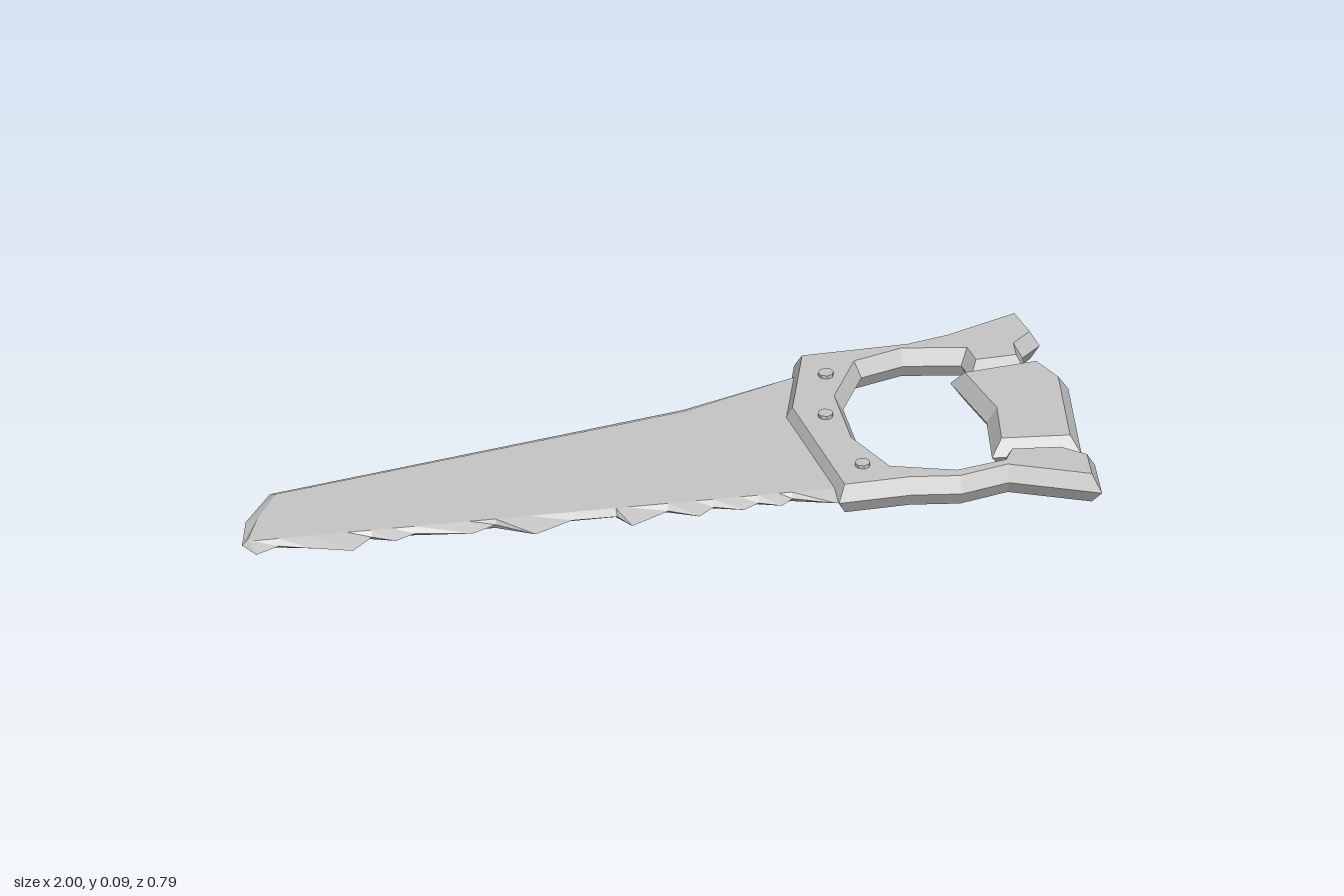
import * as THREE from 'three';

const MID = 0.047; // height of the saw's centre plane

const steel = new THREE.MeshStandardMaterial({ color: 0xc6c6c6 });
steel.name = 'grey';
steel.flatShading = true;

const toVectors = (points) => points.map(([x, z]) => new THREE.Vector2(x, z));

// Moves every edge of a counter-clockwise outline inwards, with mitred corners
function inset(outline, distance) {
  const n = outline.length;
  return outline.map((p, i) => {
    const a = p.clone().sub(outline[(i + n - 1) % n]).normalize();
    const b = outline[(i + 1) % n].clone().sub(p).normalize();
    const na = new THREE.Vector2(-a.y, a.x);
    const nb = new THREE.Vector2(-b.y, b.x);
    const k = distance / Math.max(0.4, 1 + na.dot(nb));
    return p.clone().addScaledVector(na.add(nb), k);
  });
}

// A flat body: widest on the centre plane, bevelled to a smaller face above and below
function bevelledPlate(name, outer, face, halfHeight) {
  const n = outer.length;
  const position = [];
  const put = (p, y) => position.push(p.x, y, p.y);

  for (let i = 0; i < n; i++) {
    const j = (i + 1) % n;
    const [a, b, c, d] = [outer[i], outer[j], face[i], face[j]];
    const top = MID + halfHeight, bottom = MID - halfHeight;
    put(a, MID); put(c, top); put(d, top);
    put(a, MID); put(d, top); put(b, MID);
    put(a, MID); put(d, bottom); put(c, bottom);
    put(a, MID); put(b, MID); put(d, bottom);
  }
  for (const t of THREE.ShapeUtils.triangulateShape(face, [])) {
    let [a, b, c] = t.map((i) => face[i]);
    if (THREE.ShapeUtils.area([a, b, c]) < 0) [b, c] = [c, b];
    for (const p of [a, c, b]) put(p, MID + halfHeight);
    for (const p of [a, b, c]) put(p, MID - halfHeight);
  }

  const geometry = new THREE.BufferGeometry();
  geometry.setAttribute('position', new THREE.Float32BufferAttribute(position, 3));
  geometry.computeVertexNormals();
  const mesh = new THREE.Mesh(geometry, steel);
  mesh.name = name;
  return mesh;
}

function bevelledOutline(name, points, bevel, halfHeight) {
  const outer = toVectors(points);
  if (THREE.ShapeUtils.area(outer) < 0) outer.reverse();
  return bevelledPlate(name, outer, inset(outer, bevel), halfHeight);
}

export function createModel() {
  const saw = new THREE.Group();
  saw.name = 'handSaw';

  // Blade: worn, irregular teeth taper to the centre plane, the spine is bevelled
  const teeth = [
    [-0.976, 0.257], [-0.917, 0.23], [-0.845, 0.255], [-0.755, 0.285], [-0.70, 0.235],
    [-0.65, 0.262], [-0.60, 0.24], [-0.47, 0.267], [-0.41, 0.24], [-0.33, 0.30],
    [-0.235, 0.257], [-0.13, 0.262], [-0.105, 0.31], [-0.01, 0.262], [0.055, 0.30],
    [0.095, 0.267], [0.16, 0.293], [0.20, 0.27], [0.25, 0.293], [0.28, 0.267], [0.375, 0.308],
  ];
  const spine = [[0.42, 0.28], [0.42, -0.265], [0.39, -0.255], [0.115, -0.17], [-0.89, 0], [-0.97, 0.11], [-1, 0.21]];
  const spineFace = [[0.42, 0.26], [0.42, -0.25], [0.39, -0.24], [0.12, -0.145], [-0.88, 0.022], [-0.945, 0.12], [-0.985, 0.205]];
  const teethFace = teeth.map(([x]) => [x, 0.248 + 0.035 * x]);
  const outer = toVectors([...teeth, ...spine]).reverse();
  const face = toVectors([...teethFace, ...spineFace]).reverse();
  saw.add(bevelledPlate('blade', outer, face, 0.012));

  // Handle frame: an open C with two horns
  saw.add(bevelledOutline('handleFrame', [
    [0.405, -0.31], [0.33, -0.07], [0.38, 0.31], [0.55, 0.308], [0.665, 0.327], [0.78, 0.30],
    [0.98, 0.39], [0.99, 0.265], [0.925, 0.21], [0.795, 0.193], [0.77, 0.24], [0.665, 0.26],
    [0.53, 0.215], [0.475, 0.085], [0.475, -0.095], [0.545, -0.225], [0.65, -0.255], [0.78, -0.23],
    [0.79, -0.17], [0.92, -0.173], [0.925, -0.235], [0.975, -0.28], [0.95, -0.40], [0.76, -0.33],
    [0.665, -0.31],
  ], 0.02, 0.0375));

  // Grip closing the opening of the frame
  saw.add(bevelledOutline('grip', [
    [0.74, -0.16], [0.785, 0.03], [0.765, 0.185], [0.97, 0.21], [1.0, -0.08], [0.955, -0.18],
  ], 0.024, 0.038));

  // Rivets through the handle
  for (const [x, z] of [[0.455, 0.215], [0.417, -0.017], [0.455, -0.193]]) {
    const rivet = new THREE.Mesh(new THREE.CylinderGeometry(0.018, 0.018, 0.093, 8), steel);
    rivet.name = 'rivet';
    rivet.position.set(x, 0.0465, z);
    saw.add(rivet);
  }
  return saw;
}
